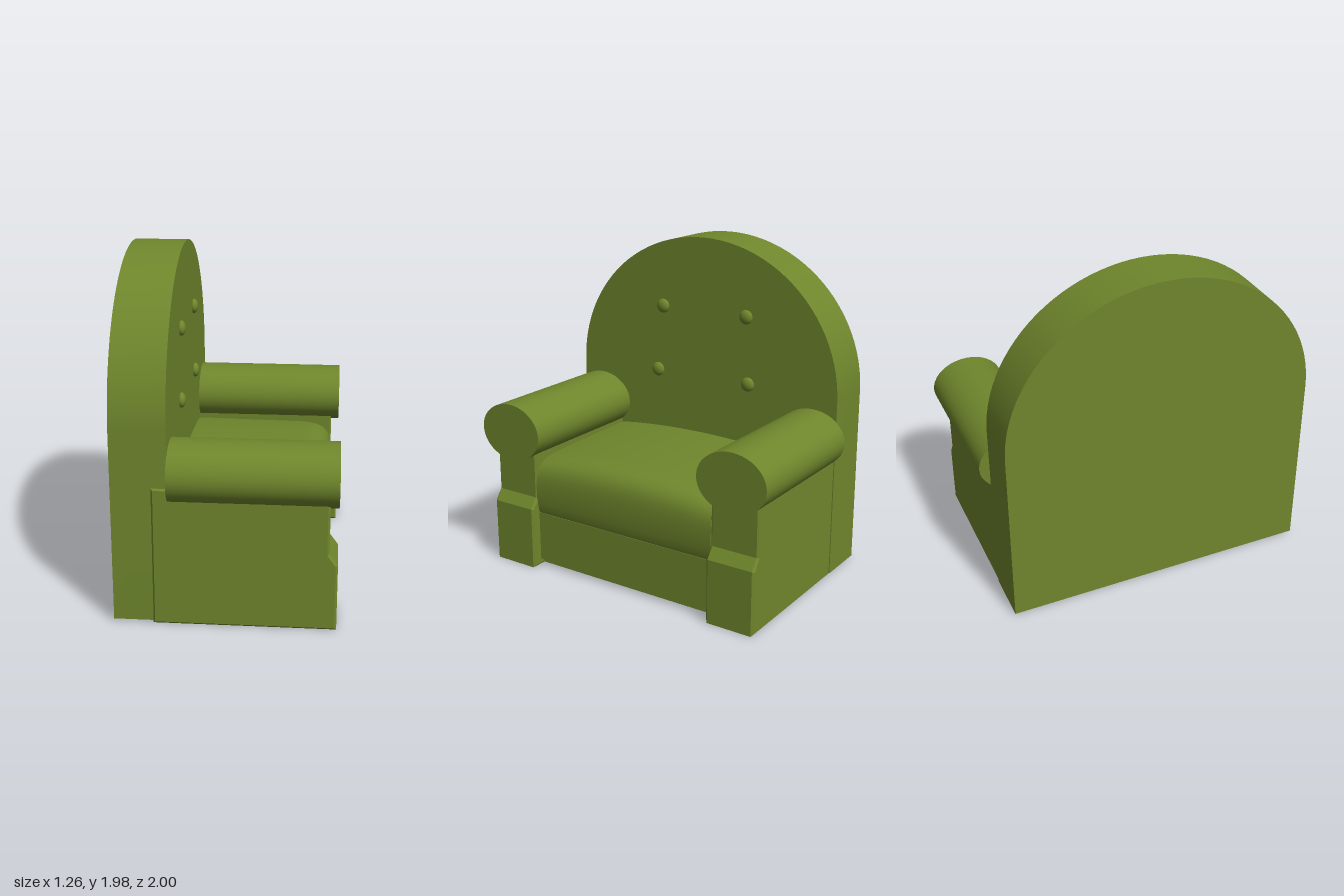
import * as THREE from 'three';
import { toCreasedNormals } from 'three/addons/utils/BufferGeometryUtils.js';

export function createModel() {
  const model = new THREE.Group();
  model.name = 'armchair';
  const fabric = new THREE.MeshStandardMaterial({ color: 0x6f862c });
  fabric.name = 'olive fabric';

  const chair = new THREE.Group();
  chair.name = 'chairBody';
  chair.rotation.y = -0.013; // stands very slightly turned
  model.add(chair);

  const add = (name, geometry, x = 0, y = 0, z = 0) => {
    const mesh = new THREE.Mesh(geometry, fabric);
    mesh.name = name;
    mesh.position.set(x, y, z);
    chair.add(mesh);
    return mesh;
  };
  const box = (name, x0, x1, y0, y1, z0, z1) =>
    add(name, new THREE.BoxGeometry(x1 - x0, y1 - y0, z1 - z0),
      (x0 + x1) / 2, (y0 + y1) / 2, (z0 + z1) / 2);

  // Tall arched backrest, extruded from back to front
  const arch = new THREE.Shape();
  arch.moveTo(-0.925, 0.015);
  arch.lineTo(0.925, 0.015);
  arch.lineTo(0.925, 1.1);
  arch.absellipse(0, 1.1, 0.925, 0.88, 0, Math.PI, false, 0);
  arch.closePath();
  const backGeometry = new THREE.ExtrudeGeometry(arch, { depth: 0.31, bevelEnabled: false, curveSegments: 24 });
  backGeometry.rotateY(Math.PI / 2);
  add('backrest', toCreasedNormals(backGeometry, 0.5), -0.62, 0, -0.008);

  // Backrest buttons
  for (const [z, y] of [[0.285, 1.53], [-0.315, 1.53], [0.325, 1.115], [-0.335, 1.115]]) {
    const button = add('backButton', new THREE.SphereGeometry(0.044, 20, 14), -0.304, y, z);
    button.scale.x = 0.6;
  }

  // Seat base with a recessed underside
  box('seatBase', -0.4, 0.55, 0.04, 0.35, -0.66, 0.66);
  box('underside', -0.4, 0.52, 0.008, 0.05, -0.66, 0.66);

  // Seat cushion: rounded front edge, gently crowned across its width
  const side = new THREE.Shape();
  side.moveTo(-0.32, 0.345);
  side.lineTo(0.545, 0.345);
  side.quadraticCurveTo(0.565, 0.4, 0.565, 0.5);
  side.bezierCurveTo(0.565, 0.62, 0.54, 0.68, 0.38, 0.69);
  side.lineTo(-0.32, 0.7);
  side.closePath();
  const cushion = new THREE.ExtrudeGeometry(side, { depth: 1.25, steps: 20, bevelEnabled: false, curveSegments: 10 });
  cushion.translate(0, 0, -0.625);
  const p = cushion.attributes.position;
  for (let i = 0; i < p.count; i++) {
    const crown = 0.045 * Math.cos((p.getZ(i) / 0.625) * 1.55) ** 0.7;
    p.setY(i, p.getY(i) + crown * Math.max(0, (p.getY(i) - 0.345) / 0.35));
  }
  add('seatCushion', toCreasedNormals(cushion, 0.7));

  // Arms: stepped side panel with an oval roll on top
  const panel = new THREE.Shape();
  [[-0.4, 0], [0.612, 0], [0.612, 0.385], [0.565, 0.45], [0.565, 0.8], [-0.4, 0.8]]
    .forEach(([x, y], i) => (i ? panel.lineTo(x, y) : panel.moveTo(x, y)));
  panel.closePath();
  for (const s of [1, -1]) {
    const label = s > 0 ? 'left' : 'right';
    add(label + 'ArmPanel', new THREE.ExtrudeGeometry(panel, {
      depth: 0.28, bevelThickness: 0.012, bevelSize: 0.012, bevelOffset: -0.012, bevelSegments: 1,
    }), 0, 0, s * 0.775 - 0.14);

    const roll = new THREE.CylinderGeometry(1, 1, 0.92, 40);
    roll.rotateZ(-Math.PI / 2);
    roll.scale(1, 0.175, 0.218);
    add(label + 'ArmRoll', roll, 0.152, s > 0 ? 0.855 : 0.86, s * 0.775);
  }

  return model;
}
